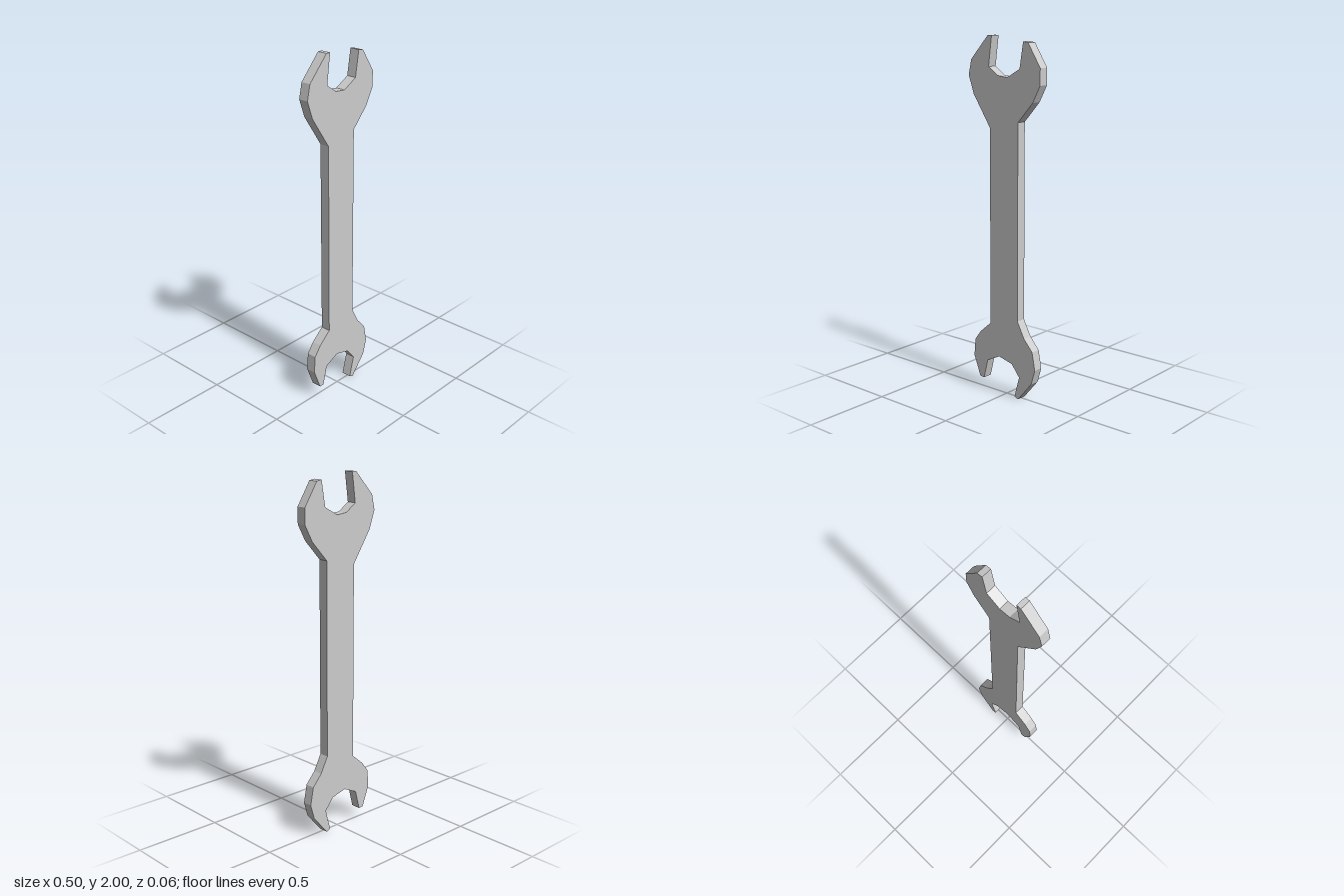
import * as THREE from 'three';

const THICKNESS = 0.057;

// Outline pieces, listed clockwise from the upper left tip
const upperJaw = [
  [-0.11, 2], [-0.083, 2], [-0.105, 1.835], [-0.04, 1.79], [0.025, 1.783],
  [0.11, 1.83], [0.134, 1.972], [0.167, 1.966], [0.248, 1.84], [0.248, 1.75], [0.2, 1.66],
];
const rightShank = [[0.1, 1.55], [0.1, 0.455]];
const lowerJaw = [
  [0.147, 0.365], [0.205, 0.3], [0.225, 0.198], [0.2, 0.112], [0.106, 0], [0.08, 0.01],
  [0.113, 0.13], [0.06, 0.197], [-0.033, 0.22], [-0.12, 0.178], [-0.148, 0.066],
  [-0.177, 0.068], [-0.222, 0.185], [-0.214, 0.283], [-0.172, 0.34],
];
const leftShank = [[-0.097, 0.405], [-0.097, 1.508]];
const upperLeftCheek = [[-0.214, 1.685], [-0.249, 1.786], [-0.23, 1.87]];

export function createModel() {
  const group = new THREE.Group();
  group.name = 'openEndedWrench';

  // Flat plate: both jaws and the shank are one continuous solid
  const outline = [...upperJaw, ...rightShank, ...lowerJaw, ...leftShank, ...upperLeftCheek];
  const shape = new THREE.Shape(outline.map(([x, y]) => new THREE.Vector2(x, y)));
  const geometry = new THREE.ExtrudeGeometry(shape, { depth: THICKNESS, bevelEnabled: false });
  geometry.translate(0, 0, -THICKNESS / 2);

  const material = new THREE.MeshStandardMaterial({ color: 0xcccccc, flatShading: true });
  const body = new THREE.Mesh(geometry, material);
  body.name = 'wrenchBody';
  group.add(body);
  return group;
}
